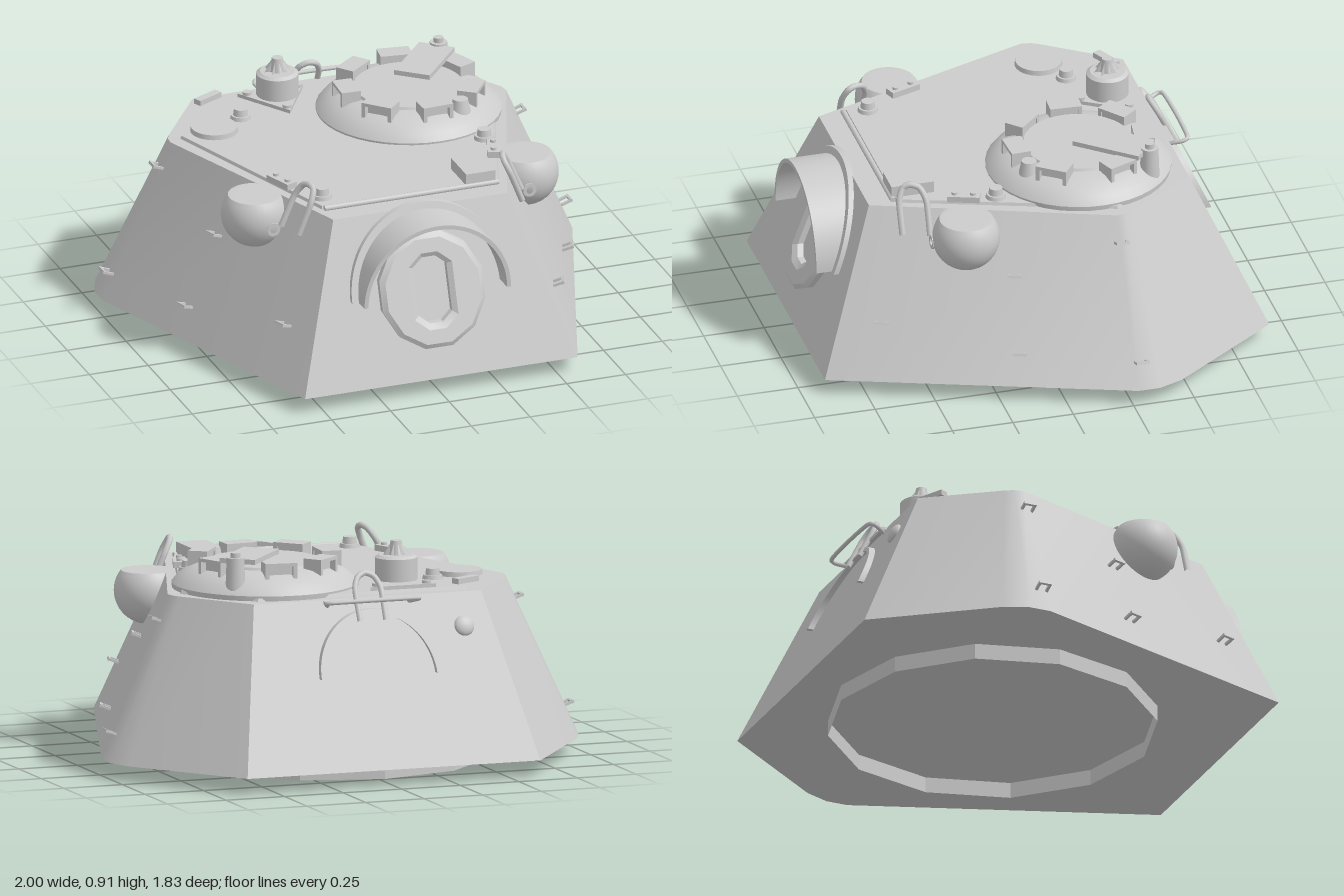
import * as THREE from 'three';
import { toCreasedNormals } from 'three/addons/utils/BufferGeometryUtils.js';

const V = (x, y, z) => new THREE.Vector3(x, y, z);
const material = new THREE.MeshStandardMaterial({ color: 0xcccccc });
const thin = new THREE.MeshStandardMaterial({ color: 0xcccccc, side: THREE.DoubleSide });

export function createModel() {
  const model = new THREE.Group();
  const add = (name, geo, x = 0, y = 0, z = 0, ry = 0, parent = model, mat = material) => {
    const m = new THREE.Mesh(geo, mat);
    m.name = name;
    m.position.set(x, y, z);
    m.rotation.y = ry;
    parent.add(m);
    return m;
  };
  const group = (name, x, y, z, ry = 0) => {
    const g = new THREE.Group();
    g.name = name;
    g.position.set(x, y, z);
    g.rotation.y = ry;
    model.add(g);
    return g;
  };
  const box = (w, h, d) => new THREE.BoxGeometry(w, h, d);
  const cyl = (r0, r1, h, n = 24) => new THREE.CylinderGeometry(r0, r1, h, n);
  const tube = (pts, r, closed = false) => {
    const path = new THREE.CatmullRomCurve3(pts, closed, 'catmullrom', 0.3);
    return new THREE.TubeGeometry(path, 32, r, 8, closed);
  };

  // Mirror half an outline (front to back on the +x side) into a full loop
  const outline = half => [...half, ...half.map(([x, z]) => [-x, z]).reverse()];
  // Solid between two convex outlines of equal point count
  function loft(low, y0, high, y1, crease) {
    const n = low.length, pos = [], index = [];
    low.forEach(([x, z]) => pos.push(x, y0, z));
    high.forEach(([x, z]) => pos.push(x, y1, z));
    for (let i = 0; i < n; i++) {
      const j = (i + 1) % n;
      index.push(i, j, n + j, i, n + j, n + i);
      if (i > 0 && i < n - 1) index.push(0, j, i, n, n + i, n + j);
    }
    const g = new THREE.BufferGeometry();
    g.setAttribute('position', new THREE.Float32BufferAttribute(pos, 3));
    g.setIndex(index);
    return toCreasedNormals(g, crease);
  }
  // Reposition z of every vertex by a rule
  function shiftZ(geo, rule) {
    const p = geo.attributes.position;
    for (let i = 0; i < p.count; i++) p.setZ(i, rule(p.getY(i), p.getZ(i)));
    return toCreasedNormals(geo, 0.4);
  }

  // Sloped hull, roof plate and open turret ring
  const base = outline([[0.58, 0.91], [1, -0.27], [1, -0.36], [0.96, -0.46], [0.625, -0.915]]);
  const top = outline([[0.37, 0.67], [0.715, -0.26], [0.71, -0.30], [0.69, -0.335], [0.485, -0.62]]);
  add('hull', loft(base, 0.065, top, 0.715, 0.5));
  const roof = outline([[0.38, 0.565], [0.67, -0.28], [0.45, -0.57]]);
  add('roofPlate', loft(roof, 0.705, roof.map(([x, z]) => [x * 0.985, z * 0.985]), 0.727, 0.3));
  add('roofFrontRidge', cyl(0.012, 0.012, 0.74, 8).rotateZ(Math.PI / 2), 0, 0.722, 0.57);
  const ring = new THREE.CylinderGeometry(0.66, 0.66, 0.07, 12, 1, true);
  add('turretRing', toCreasedNormals(ring, 0.2), -0.025, 0.035, -0.09, 0, model, thin);

  // Front and rear plate slopes
  const frontZ = y => 0.91 - (y - 0.065) * 0.24 / 0.65;
  const backZ = y => -0.915 + (y - 0.065) * 0.295 / 0.65;
  function arch(r0, r1, depth, y) {
    const s = new THREE.Shape();
    s.absarc(0, 0, r1, 0, Math.PI, false);
    s.absarc(0, 0, r0, Math.PI, 0, true);
    return new THREE.ExtrudeGeometry(s, { depth, bevelEnabled: false, curveSegments: 24 }).translate(0, y, 0);
  }
  add('mantletHood', shiftZ(arch(0.295, 0.312, 1, 0.4), (y, z) => z > 0.5 ? 0.87 : frontZ(y) - 0.01));
  add('mantletFlange', shiftZ(arch(0.3, 0.34, 0.025, 0.4), (y, z) => frontZ(y) + z - 0.004));
  add('rearArch', shiftZ(arch(0.238, 0.255, 0.03, 0.42), (y, z) => backZ(y) + z - 0.025));

  // Twelve-sided mantlet with elongated octagonal opening
  const disk = new THREE.Shape(Array.from({ length: 12 }, (_, i) => {
    const a = (i + 0.5) * Math.PI / 6;
    return new THREE.Vector2(Math.cos(a) * 0.205, Math.sin(a) * 0.205);
  }));
  disk.holes.push(new THREE.Path([[-0.035, -0.145], [0.035, -0.145], [0.092, -0.1], [0.092, 0.1],
    [0.035, 0.145], [-0.035, 0.145], [-0.092, 0.1], [-0.092, -0.1]].map(p => new THREE.Vector2(...p))));
  const diskGeo = new THREE.ExtrudeGeometry(disk, { depth: 0.025, bevelThickness: 0.015, bevelSize: 0.02, bevelSegments: 1 });
  add('mantlet', shiftZ(diskGeo.translate(0, 0.41, 0), (y, z) => frontZ(y) + z));

  // Commander's cupola with ring of periscopes
  const cupola = group('cupola', 0.285, 0, -0.22);
  const profile = [[0.37, 0.715], [0.372, 0.735], [0.35, 0.762], [0.315, 0.788], [0.27, 0.808], [0.225, 0.815],
    [0.22, 0.825], [0, 0.825]].map(p => new THREE.Vector2(...p));
  add('cupolaDome', toCreasedNormals(new THREE.LatheGeometry(profile, 40), 0.5), 0, 0, 0, 0, cupola);
  for (const deg of [-128, -177, 136, 87, 37, -22, -82]) {
    const a = deg * Math.PI / 180, dx = Math.cos(a), dz = Math.sin(a);
    const p = new THREE.Group();
    p.name = 'periscope';
    p.position.set(dx * 0.26, 0, dz * 0.26);
    p.rotation.y = Math.atan2(dx, dz);
    cupola.add(p);
    add('periscopeRoof', box(0.13, 0.014, 0.08), 0, 0.848, 0, 0, p);
    add('periscopeBlock', box(0.1, 0.06, 0.05), 0, 0.815, -0.01, 0, p);
    for (const s of [-1, 1]) add('periscopeCheek', box(0.016, 0.075, 0.08), s * 0.057, 0.81, 0, 0, p);
  }
  const armAngle = Math.atan2(36, -42);
  add('hatchArm', box(0.15, 0.02, 0.29), 0.11, 0.862, -0.115, armAngle, cupola);
  add('hatchPivot', cyl(0.035, 0.04, 0.13, 16), 0.215, 0.815, -0.235, 0, cupola);
  add('hatchPivotCap', cyl(0.02, 0.02, 0.03, 12), 0.215, 0.885, -0.235, 0, cupola);
  add('cupolaKnob', cyl(0.03, 0.045, 0.07, 16), 0.13, 0.81, 0.24, 0, cupola);

  // Ventilator on a triangular foot
  const fan = group('ventilator', -0.18, 0, -0.47);
  const foot = [[0, 0.145], [0.14, -0.08], [-0.14, -0.08]];
  add('ventFoot', loft(foot, 0.72, foot, 0.742, 0.1), 0, 0, 0, 0, fan);
  for (const [x, z] of foot) add('ventBolt', cyl(0.018, 0.018, 0.014, 10), x * 0.76, 0.747, z * 0.76, 0, fan);
  add('ventBody', cyl(0.085, 0.085, 0.09), 0, 0.8, 0, 0, fan);
  add('ventCap', cyl(0.07, 0.085, 0.01), 0, 0.85, 0, 0, fan);
  add('ventSpike', cyl(0.022, 0.032, 0.065, 12), 0, 0.88, 0, 0, fan);
  for (let i = 0; i < 4; i++) add('ventFin', cyl(0.025, 0.06, 0.05, 4).scale(1, 1, 0.15), 0, 0.873, 0, i * Math.PI / 4, fan);

  // Roof fittings
  add('roundHatch', cyl(0.093, 0.097, 0.03, 32), -0.52, 0.732, -0.28);
  for (const [x, z] of [[-0.38, -0.355], [-0.345, 0.475], [0.46, 0.17]]) {
    add('roofKnobBase', cyl(0.038, 0.043, 0.022, 20), x, 0.732, z);
    add('roofKnob', cyl(0.026, 0.031, 0.04, 20), x, 0.75, z);
  }
  add('roofBox', box(0.125, 0.05, 0.175), 0.295, 0.75, 0.485);
  add('roofStrip', box(0.12, 0.022, 0.035), -0.45, 0.748, -0.54, 0.45);

  // Side clip: two legs and a crossbar, tilted up outward
  function clip(x, y, z, s, turn) {
    const g = group('sideClip', s * x, y, z);
    g.rotation.set(0, s > 0 ? -turn : Math.PI + turn, 0.35);
    for (const k of [-1, 1]) add('clipLeg', box(0.045, 0.01, 0.01), 0, 0, k * 0.022, 0, g);
    add('clipBar', box(0.01, 0.012, 0.054), 0.02, 0, 0, 0, g);
  }

  // Paired side fittings
  const ballGeo = new THREE.SphereGeometry(0.135, 32, 24);
  const bp = ballGeo.attributes.position;
  for (let i = 0; i < bp.count; i++) bp.setY(i, Math.min(bp.getY(i), 0.083));
  const ball = toCreasedNormals(ballGeo, 0.5);
  for (const s of [-1, 1]) {
    add('sideBall', ball, s * 0.575, 0.632, 0.325);
    const port = new THREE.RingGeometry(0.014, 0.028, 20);
    add('ballPortRim', port, s * 0.545, 0.61, 0.462);
    add('ballPort', new THREE.CylinderGeometry(0.028, 0.028, 0.03, 20, 1, true).rotateX(Math.PI / 2),
      s * 0.545, 0.61, 0.447, 0, model, thin);
    add('roofPad', box(0.05, 0.025, 0.13), s * 0.45, 0.74, 0.3, -s * 0.34);
    for (const k of [-1, 1]) add('padBolt', cyl(0.012, 0.012, 0.012, 10), s * (0.45 - k * 0.012), 0.757, 0.3 + k * 0.035);
    // Lifting loop leaning along the side plate
    add('liftingLoop', tube([V(s * 0.51, 0.62, 0.455), V(s * 0.455, 0.745, 0.455), V(s * 0.425, 0.795, 0.475),
      V(s * 0.41, 0.807, 0.51), V(s * 0.405, 0.795, 0.54), V(s * 0.425, 0.745, 0.56), V(s * 0.475, 0.62, 0.56)], 0.013));
    for (const [x, y, z, t] of [[0.975, 0.18, -0.29, 0], [0.77, 0.62, -0.265, 0], [0.815, 0.2, 0.17, 0.34],
      [0.685, 0.485, 0.155, 0.34], [0.585, 0.295, 0.675, 0.34]]) clip(x, y, z, s, t);
  }

  // Rear rack, rear lifting loop and pistol port plug
  add('rearRack', tube([V(-0.17, 0.69, -0.62), V(-0.185, 0.715, -0.7), V(0.185, 0.715, -0.7), V(0.17, 0.69, -0.62)], 0.009));
  add('rearRackPlate', box(0.38, 0.012, 0.03), 0, 0.705, -0.63);
  add('rearLoop', tube([V(-0.055, 0.63, -0.685), V(-0.055, 0.75, -0.625), V(-0.035, 0.795, -0.6), V(0, 0.81, -0.59),
    V(0.035, 0.795, -0.6), V(0.055, 0.75, -0.625), V(0.055, 0.63, -0.685)], 0.012));
  const plug = add('pistolPlug', new THREE.SphereGeometry(0.042, 20, 14).scale(1, 1, 0.5), -0.39, 0.587, -0.68);
  plug.rotation.x = 0.42;

  return model;
}
